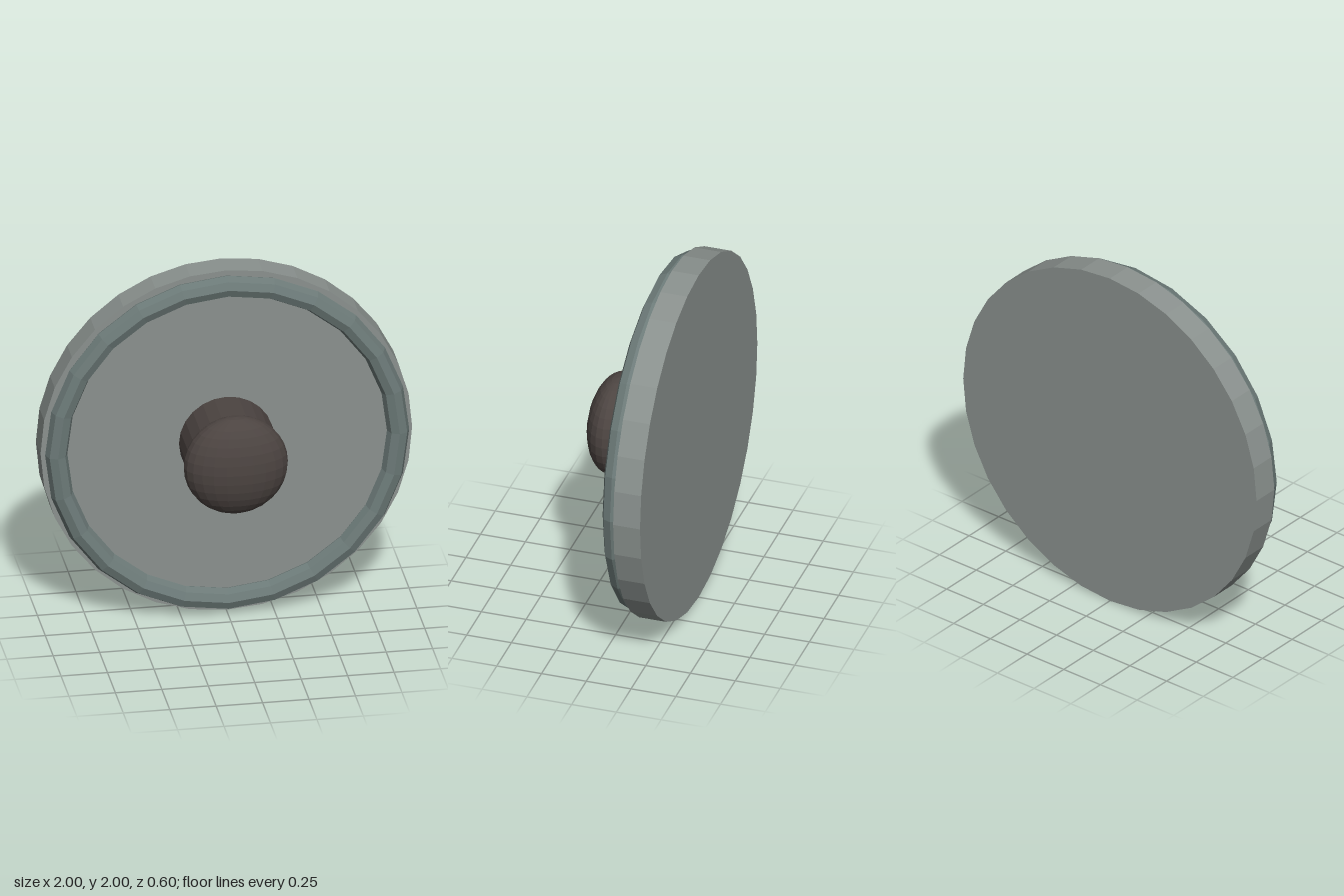
import * as THREE from 'three';

export function createModel() {
  const group = new THREE.Group();

  const paint = (color) => new THREE.MeshStandardMaterial({ color, flatShading: true });
  const plateMat = paint(0x8a918e);
  const ringMat = paint(0x6c7a78);
  const knobMat = paint(0x4c4441);

  const add = (name, geometry, material, z) => {
    const mesh = new THREE.Mesh(geometry, material);
    mesh.name = name;
    mesh.position.set(0, 1, z);
    group.add(mesh);
    return mesh;
  };

  // Cylinder lying along z between two depths
  const disc = (radius, back, front, sides) =>
    new THREE.CylinderGeometry(radius, radius, front - back, sides).rotateX(Math.PI / 2);

  // Round back plate
  add('plate', disc(1, -0.3, -0.15, 32), plateMat, -0.225);

  // Raised rim on the front face
  add('rim', new THREE.TorusGeometry(0.92, 0.06, 8, 24), ringMat, -0.125);

  // Stem and flattened knob
  add('stem', disc(0.255, -0.15, 0.15, 24), knobMat, 0);
  add('knob', new THREE.SphereGeometry(0.28, 24, 16).scale(1, 1, 0.535), knobMat, 0.15);

  return group;
}
